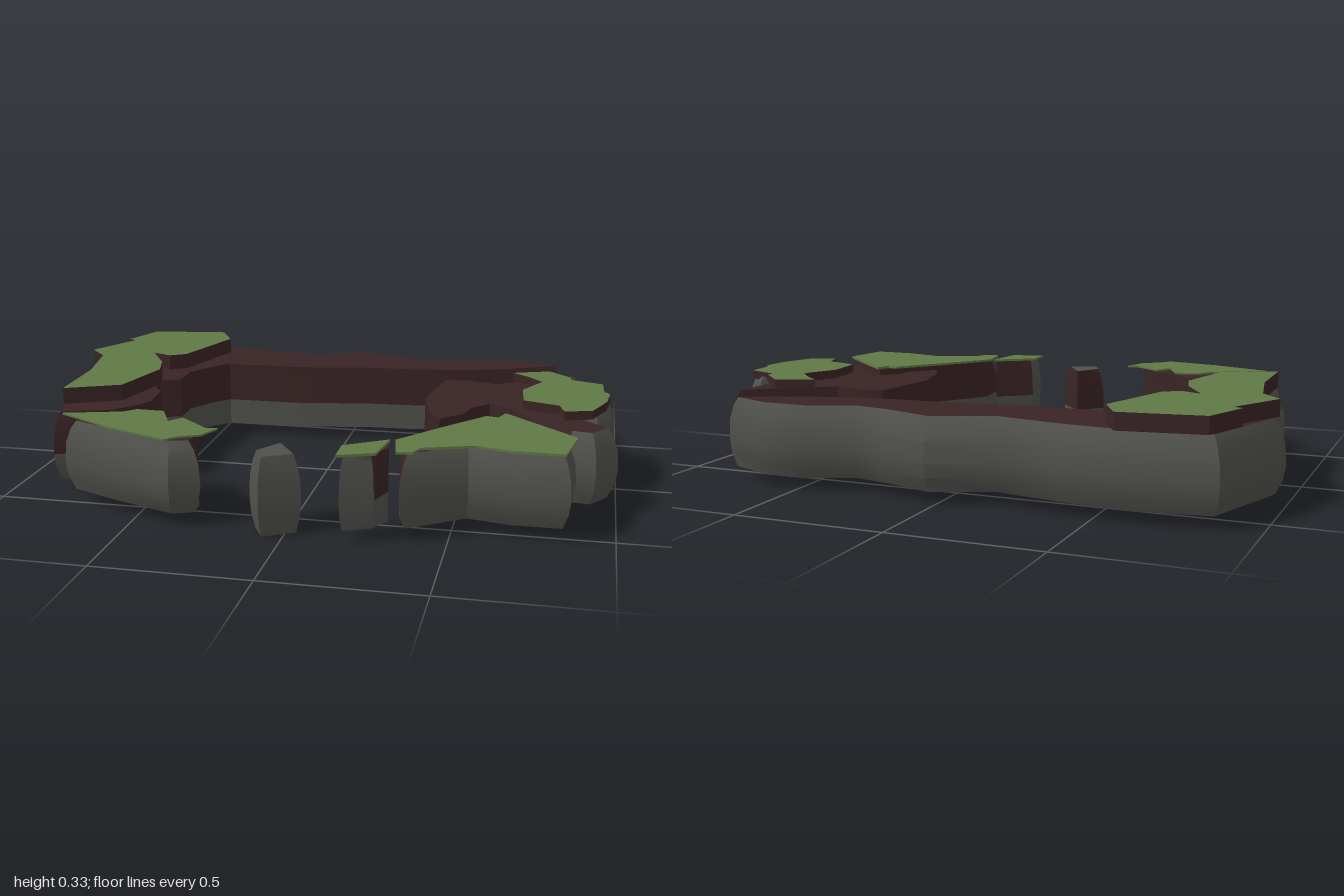
import * as THREE from 'three';
import { toCreasedNormals } from 'three/addons/utils/BufferGeometryUtils.js';

const mat = (name, color) => {
  const m = new THREE.MeshStandardMaterial({ color });
  m.name = name;
  return m;
};

// Bulged side profile: [fraction of height, inset of the weathered side]
const PROFILE = [[0, 0.03], [0.2, 0.008], [0.4, 0], [0.68, 0.005], [0.88, 0.022], [1, 0.042]];
const SPLIT = 2; // the inner side turns from stone to earth above this ring

// Rock lofted from a plan outline (x, z): the outer run bulges, the inner run stays upright.
function rockGeometry(outer, inner, y0, y1, bulge, stoneTop) {
  const plan = [...outer, ...inner].map(([x, z]) => new THREE.Vector2(x, z));
  const n = plan.length;
  const normals = plan.map((p, i) => {
    const d1 = p.clone().sub(plan[(i + n - 1) % n]).normalize();
    const d2 = plan[(i + 1) % n].clone().sub(p).normalize();
    return new THREE.Vector2(d1.y + d2.y, -d1.x - d2.x).normalize();
  });
  const rings = PROFILE.map(([f, inset]) => plan.map((p, i) => {
    const k = i < outer.length ? inset * bulge : 0;
    return [p.x - normals[i].x * k, y0 + f * (y1 - y0), p.y - normals[i].y * k];
  }));

  const stone = [], earth = [];
  for (let r = 0; r < rings.length - 1; r++) {
    for (let i = 0; i < n; i++) {
      const j = (i + 1) % n;
      const [a, b, c, d] = [rings[r][i], rings[r + 1][i], rings[r + 1][j], rings[r][j]];
      const isEarth = inner.length > 0 && i >= outer.length - 1 && r >= SPLIT;
      (isEarth ? earth : stone).push(...a, ...b, ...c, ...a, ...c, ...d);
    }
  }

  // Flat top and underside
  const cap = (ring, up, list) => {
    const flat = ring.map(([x, , z]) => new THREE.Vector2(x, z));
    for (const [i, j, k] of THREE.ShapeUtils.triangulateShape(flat, [])) {
      const [a, b, c] = [ring[i], ring[j], ring[k]];
      const ny = (b[2] - a[2]) * (c[0] - a[0]) - (b[0] - a[0]) * (c[2] - a[2]);
      if ((ny > 0) === up) list.push(...a, ...b, ...c);
      else list.push(...a, ...c, ...b);
    }
  };
  cap(rings[0], false, stone);
  cap(rings[rings.length - 1], true, stoneTop ? stone : earth);

  const geo = new THREE.BufferGeometry();
  geo.setAttribute('position', new THREE.Float32BufferAttribute([...stone, ...earth], 3));
  geo.addGroup(0, stone.length / 3, 0);
  geo.addGroup(stone.length / 3, earth.length / 3, 1);
  geo.computeVertexNormals();
  return toCreasedNormals(geo, 0.7);
}

export function createModel() {
  const model = new THREE.Group();
  model.name = 'rockRing';
  const stone = mat('greyStone', 0x50504c);
  const earth = mat('darkEarth', 0x3a2425);
  const moss = mat('mossGreen', 0x607846);

  const addRock = (name, outer, inner, { y0 = 0.04, y1 = 0.275, bulge = 1, stoneTop = false } = {}) => {
    const mesh = new THREE.Mesh(rockGeometry(outer, inner, y0, y1, bulge, stoneTop), [stone, earth]);
    mesh.name = name;
    model.add(mesh);
  };

  // Moss sheet with its top at the given height and an edge of the given depth
  const addMoss = (name, outline, top, depth, edge) => {
    const shape = new THREE.Shape(outline.map(([x, z]) => new THREE.Vector2(x, z)));
    const geo = new THREE.ExtrudeGeometry(shape, { depth, bevelEnabled: false });
    geo.rotateX(Math.PI / 2);
    const mesh = new THREE.Mesh(geo, [moss, edge]);
    mesh.position.y = top;
    mesh.name = name;
    model.add(mesh);
    return mesh;
  };

  // Long corner wall along the back and right-hand side
  addRock('cornerWall',
    [[-0.845, 0.425], [-0.9, 0.22], [-0.88, 0.06], [-1, -0.29], [-0.88, -0.64], [-0.64, -0.68],
      [-0.4, -0.66], [-0.18, -0.62], [0.02, -0.7], [0.19, -0.645], [0.31, -0.62], [0.45, -0.68],
      [0.63, -0.68], [0.8, -0.585]],
    [[0.6, -0.51], [0.42, -0.45], [0.24, -0.425], [0.07, -0.415], [-0.18, -0.37], [-0.46, -0.365],
      [-0.51, -0.31], [-0.57, -0.21], [-0.57, -0.1], [-0.64, -0.07], [-0.62, 0.03], [-0.585, 0.07],
      [-0.575, 0.2], [-0.6, 0.26], [-0.67, 0.34]]);

  // Broad rock on the left with a small boulder set in its outer face
  addRock('leftRock',
    [[0.85, -0.5], [0.86, -0.32], [0.92, -0.2], [0.93, -0.05], [0.9, 0.1], [1, 0.2], [0.93, 0.31],
      [0.83, 0.3]],
    [[0.74, 0.2], [0.65, 0.06], [0.565, 0], [0.51, 0.06], [0.49, 0.14], [0.42, 0.215], [0.38, 0.14],
      [0.34, -0.03], [0.38, -0.29], [0.47, -0.3], [0.565, -0.27], [0.64, -0.32], [0.75, -0.4]]);
  addRock('sideBoulder',
    [[0.87, -0.3], [0.955, -0.23], [0.98, -0.13], [0.98, -0.01], [0.93, 0.06], [0.85, 0.05], [0.8, -0.2]],
    [], { y0: 0.125, y1: 0.288, bulge: 0.8, stoneTop: true });

  // Front rocks
  addRock('frontLeftRock',
    [[0.87, 0.365], [0.86, 0.54], [0.68, 0.55], [0.55, 0.52], [0.355, 0.645]],
    [[0.335, 0.5], [0.46, 0.32], [0.62, 0.135], [0.75, 0.24]]);
  addRock('frontSmallRock',
    [[0.28, 0.645], [0.18, 0.685], [0.18, 0.6]],
    [[0.3, 0.51], [0.31, 0.56]], { bulge: 0.4 });
  addRock('frontPebble',
    [[0.05, 0.62], [-0.07, 0.69], [-0.12, 0.6]],
    [[-0.04, 0.515]], { y0: 0, y1: 0.255, bulge: 0.6, stoneTop: true });
  addRock('frontRightRock',
    [[-0.27, 0.625], [-0.36, 0.67], [-0.58, 0.59], [-0.775, 0.49]],
    [[-0.69, 0.375], [-0.53, 0.37], [-0.46, 0.42], [-0.3, 0.55]]);

  // Raised moss slabs with earthy edges
  addMoss('wallMoss',
    [[-0.84, -0.62], [-0.57, -0.66], [-0.51, -0.55], [-0.6, -0.265], [-0.655, -0.23], [-0.725, -0.26],
      [-0.65, -0.13], [-0.62, -0.02], [-0.675, 0.215], [-0.855, 0.3], [-0.86, 0.04], [-0.9, -0.18],
      [-0.97, -0.26], [-0.87, -0.45], [-0.9, -0.46]], 0.33, 0.055, earth);
  addMoss('leftMoss',
    [[0.62, -0.33], [0.75, -0.38], [0.83, -0.3], [0.83, -0.27], [0.94, -0.23], [0.945, -0.13], [0.965, -0.1],
      [0.955, 0], [0.91, 0.12], [0.82, 0.15], [0.8, 0.08], [0.68, 0.04], [0.67, -0.1], [0.71, -0.18],
      [0.73, -0.22], [0.68, -0.28]], 0.305, 0.03, earth);

  // Thin moss sheets on the front rocks
  addMoss('frontLeftMoss',
    [[0.63, 0.135], [0.87, 0.365], [0.84, 0.54], [0.69, 0.54], [0.57, 0.51], [0.41, 0.565], [0.39, 0.615],
      [0.34, 0.62], [0.32, 0.5], [0.45, 0.33], [0.57, 0.18], [0.61, 0.19]], 0.284, 0.008, moss);
  addMoss('frontSmallMoss',
    [[0.17, 0.59], [0.305, 0.5], [0.285, 0.645], [0.17, 0.69]], 0.284, 0.008, moss);
  const tilted = addMoss('frontRightMoss',
    [[-0.775, 0.49], [-0.595, 0.42], [-0.56, 0.38], [-0.47, 0.375], [-0.42, 0.48], [-0.385, 0.43],
      [-0.28, 0.52], [-0.245, 0.51], [-0.275, 0.59], [-0.34, 0.63], [-0.37, 0.665], [-0.56, 0.6]],
    0.282, 0.006, moss);
  tilted.rotation.z = -0.025;

  return model;
}
